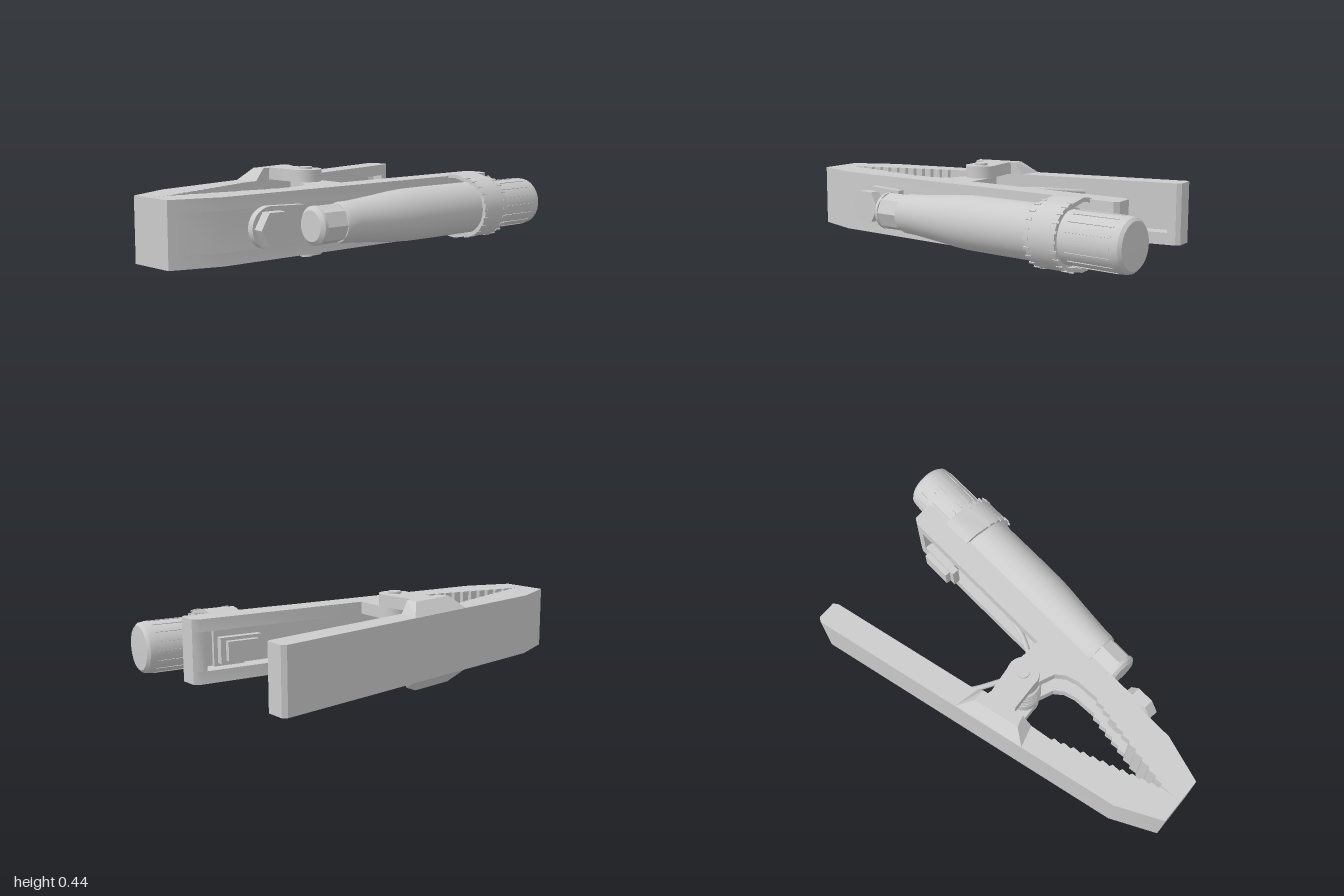
import * as THREE from 'three';
import { toCreasedNormals } from 'three/addons/utils/BufferGeometryUtils.js';
import { ConvexGeometry } from 'three/addons/geometries/ConvexGeometry.js';

const mat = new THREE.MeshStandardMaterial({ color: 0xcccccc, side: THREE.DoubleSide });
const MID = 0.22, TILT = 0.126, PIVOT = [-0.09, -0.13];

function add(parent, name, geo, x = 0, y = 0, z = 0) {
  const m = new THREE.Mesh(geo, mat);
  m.name = name;
  m.position.set(x, y, z);
  parent.add(m);
  return m;
}

// Plan outline of [x, z] points, extruded between two heights
function slab(points, y0, y1) {
  const shape = new THREE.Shape(points.map(p => new THREE.Vector2(p[0], p[1])));
  const g = new THREE.ExtrudeGeometry(shape, { depth: y1 - y0, bevelEnabled: false });
  g.rotateX(Math.PI / 2).translate(0, y1, 0);
  return toCreasedNormals(g, 0.5);
}

// Saw teeth between two plan points; dz sets the tooth height
function teeth(a, b, n, dz) {
  const out = [];
  for (let i = 0; i < n; i++) {
    const at = t => [a[0] + (b[0] - a[0]) * t, a[1] + (b[1] - a[1]) * t];
    const p = at(i / n), q = at((i + 0.85) / n);
    out.push(p, [q[0], q[1] - dz]);
  }
  out.push(b);
  return out;
}

// Points on an arc around the pivot, in plan
function arc(cx, cz, r, a0, a1, n = 12) {
  return Array.from({ length: n + 1 }, (_, i) => {
    const a = a0 + (a1 - a0) * i / n;
    return [cx + r * Math.cos(a), cz + r * Math.sin(a)];
  });
}

function lathe(profile, segments = 40) {
  const g = new THREE.LatheGeometry(profile.map(p => new THREE.Vector2(p[1], p[0])), segments);
  return toCreasedNormals(g.rotateZ(-Math.PI / 2), 0.5);
}

function frontArm() {
  const g = new THREE.Group();
  g.name = 'frontArm';
  const tip = [[-1, -0.02], [-1, -0.135], [-0.89, -0.135]];
  const jaw = teeth([-0.89, -0.125], [-0.42, 0.005], 10, 0.012);
  const ear = arc(...PIVOT, 0.075, Math.PI * 0.9, Math.PI * 2.1);
  const handle = [[-0.03, 0.045], [0.81, 0.145], [0.84, 0.165], [0.84, 0.25], [0.82, 0.27]];
  const side = [...tip, ...jaw, [-0.3, 0.012], [-0.24, 0], [-0.195, -0.03], ...ear, ...handle, [-0.78, 0.07]];
  add(g, 'frontArmLowerWall', slab(side, 0.072, 0.13));
  add(g, 'frontArmUpperWall', slab(side, 0.31, 0.368));
  // Solid toothed tip, thin outer wall and closed handle end
  const core = [...tip, ...jaw.filter(p => p[0] < -0.63), [-0.63, 0.055], [0.76, 0.228],
    [0.78, 0.205], [0.78, 0.142], [0.81, 0.145], ...handle.slice(2), [-0.78, 0.07]];
  add(g, 'frontArmCore', slab(core, 0.13, 0.31));
  return g;
}

function backArm() {
  const g = new THREE.Group();
  g.name = 'backArm';
  const outer = [[0.84, -0.515], [0.82, -0.53], [-0.78, -0.34], [-1, -0.25], [-1, -0.135], [-0.89, -0.14]];
  const jaw = teeth([-0.89, -0.15], [-0.38, -0.282], 11, -0.012);
  const end = [[0.82, -0.41], [0.84, -0.425]];
  const side = [...outer, ...jaw, [-0.18, -0.295], [-0.03, -0.31], ...end];
  add(g, 'backArmLowerWall', slab(side, 0.072, 0.13));
  add(g, 'backArmUpperWall', slab(side, 0.31, 0.368));
  const core = [...outer, ...jaw, [-0.36, -0.35], [0.75, -0.482], [0.78, -0.465], [0.78, -0.405], ...end];
  add(g, 'backArmCore', slab(core, 0.13, 0.31));

  // Chamfered hinge cheeks with rounded ears, mirrored top and bottom
  const base = [[-0.3, -0.397], [0.06, -0.438], [0.035, -0.318], [-0.27, -0.288]];
  const face = [[-0.235, -0.345], [-0.005, -0.372], [-0.005, -0.312], [-0.22, -0.29]];
  const ear = [[-0.2, -0.34], [-0.02, -0.345], [-0.035, -0.29], [-0.02, -0.16],
    ...arc(...PIVOT, 0.076, -0.2, Math.PI + 0.2), [-0.17, -0.28]];
  for (const s of [1, -1]) {
    const at = (pts, h) => pts.map(p => new THREE.Vector3(p[0], MID + s * h, p[1]));
    add(g, 'hingeCheek', new ConvexGeometry([...at(base, 0.146), ...at(face, 0.206)]));
    const ys = [MID + s * 0.148, MID + s * 0.206].sort((a, b) => a - b);
    add(g, 'hingeEar', slab(ear, ...ys));
  }
  return g;
}

function hinge() {
  const g = new THREE.Group();
  g.name = 'hinge';
  const [px, pz] = PIVOT;
  add(g, 'rivet', new THREE.CylinderGeometry(0.03, 0.03, 0.437, 24), px, 0.2185, pz);
  // Coil spring with one leg along each handle
  const pts = [new THREE.Vector3(0.34, 0.145, 0.16), new THREE.Vector3(0.1, 0.145, 0.09)];
  const turns = 5.6, n = 120, start = Math.PI * 0.6;
  for (let i = 0; i <= n; i++) {
    const a = start + turns * Math.PI * 2 * i / n;
    pts.push(new THREE.Vector3(px + 0.072 * Math.cos(a), 0.145 + 0.15 * i / n, pz + 0.072 * Math.sin(a)));
  }
  pts.push(new THREE.Vector3(0.1, 0.295, -0.34), new THREE.Vector3(0.34, 0.295, -0.42));
  add(g, 'spring', new THREE.TubeGeometry(new THREE.CatmullRomCurve3(pts, false, 'centripetal'), 420, 0.013, 8));
  return g;
}

function cable() {
  const g = new THREE.Group();
  g.name = 'cableGrip';
  g.position.set(0, MID, 0.275);
  g.rotation.y = -TILT;
  // Crimp fitting, tapering sleeve and cable end
  const hex = new THREE.CylinderGeometry(0.088, 0.088, 0.13, 8);
  add(g, 'fitting', toCreasedNormals(hex.rotateZ(Math.PI / 2), 0.5), -0.325);
  add(g, 'fittingRim', lathe([[-0.415, 0], [-0.415, 0.07], [-0.4, 0.088], [-0.385, 0.088], [-0.385, 0]]));
  add(g, 'sleeve', lathe([[-0.27, 0], [-0.27, 0.088], [-0.25, 0.094], [-0.2, 0.095], [-0.05, 0.108],
    [0.06, 0.119], [0.14, 0.124], [0.3, 0.125], [0.68, 0.125], [0.69, 0]]));
  add(g, 'cable', lathe([[0.66, 0.117], [0.95, 0.119], [0.975, 0.115], [0.988, 0.102], [0.993, 0]]));
  for (let i = 0; i < 16; i++) {
    const a = i / 16 * Math.PI * 2;
    const rib = add(g, 'cableRib', new THREE.BoxGeometry(0.22, 0.004, 0.008), 0.83, 0.119 * Math.cos(a), 0.119 * Math.sin(a));
    rib.rotation.x = a;
  }

  // Strap wrapped around the sleeve and drawn in to the handle
  const loop = (r, w, b) => [...arc(0, 0, r, 0, Math.PI, 28),
    [-w, -0.06], [-w + 0.004, -0.1], [-w + 0.025, -b], [w - 0.025, -b], [w - 0.004, -0.1], [w, -0.06]]
    .map(p => new THREE.Vector2(p[0], p[1]));
  const band = new THREE.Shape(loop(0.147, 0.16, 0.165));
  band.holes.push(new THREE.Path(loop(0.128, 0.142, 0.145)));
  const strap = new THREE.ExtrudeGeometry(band, { depth: 0.15, bevelEnabled: false });
  // Section plane (u, v) becomes (y, z); depth runs along the cable
  strap.applyMatrix4(new THREE.Matrix4().set(0, 0, 1, 0, 1, 0, 0, 0, 0, 1, 0, 0, 0, 0, 0, 1));
  add(g, 'strap', toCreasedNormals(strap, 0.5), 0.545);
  for (const x of [0.55, 0.69]) {
    for (let i = 0; i < 11; i++) {
      const a = (i + 0.5) / 11 * Math.PI;
      const notch = add(g, 'strapTooth', new THREE.BoxGeometry(0.03, 0.012, 0.006), x, 0.147 * Math.cos(a), 0.147 * Math.sin(a));
      notch.rotation.x = a + Math.PI / 2;
    }
  }
  return g;
}

function fasteners() {
  const g = new THREE.Group();
  g.name = 'fasteners';
  const disc = (r, h, n) => toCreasedNormals(new THREE.CylinderGeometry(r, r, h, n).rotateX(Math.PI / 2), 0.5);
  // Cable lug bolted to the jaw
  const bolt = new THREE.Group();
  bolt.name = 'lugBolt';
  bolt.position.set(-0.56, MID, 0.098);
  bolt.rotation.y = -TILT;
  const lug = new THREE.Shape();
  lug.absarc(0, 0, 0.095, Math.PI / 2, Math.PI * 1.5, false);
  lug.lineTo(0.18, -0.088);
  lug.lineTo(0.18, 0.088);
  add(bolt, 'lug', new THREE.ExtrudeGeometry(lug, { depth: 0.035, bevelEnabled: false }));
  add(bolt, 'boltHead', disc(0.085, 0.055, 6), 0, 0, 0.06).rotation.z = Math.PI / 6;
  add(bolt, 'boltShank', disc(0.04, 0.12, 20), 0, 0, -0.055);
  add(bolt, 'boltNut', disc(0.08, 0.06, 6), 0, 0, -0.055);
  g.add(bolt);
  // Strap clamp block seated in the handle
  const clamp = new THREE.Group();
  clamp.name = 'strapClamp';
  clamp.position.set(0.63, MID, 0.1);
  clamp.rotation.y = -TILT;
  add(clamp, 'clampPlate', new THREE.BoxGeometry(0.2, 0.12, 0.035), 0, 0, 0.01);
  add(clamp, 'clampHead', new THREE.BoxGeometry(0.15, 0.09, 0.03), 0, 0, -0.02);
  add(clamp, 'clampPost', new THREE.BoxGeometry(0.12, 0.08, 0.14), 0, 0, 0.06);
  g.add(clamp);
  return g;
}

export function createModel() {
  const model = new THREE.Group();
  model.name = 'springClamp';
  model.add(frontArm(), backArm(), hinge(), cable(), fasteners());
  return model;
}
